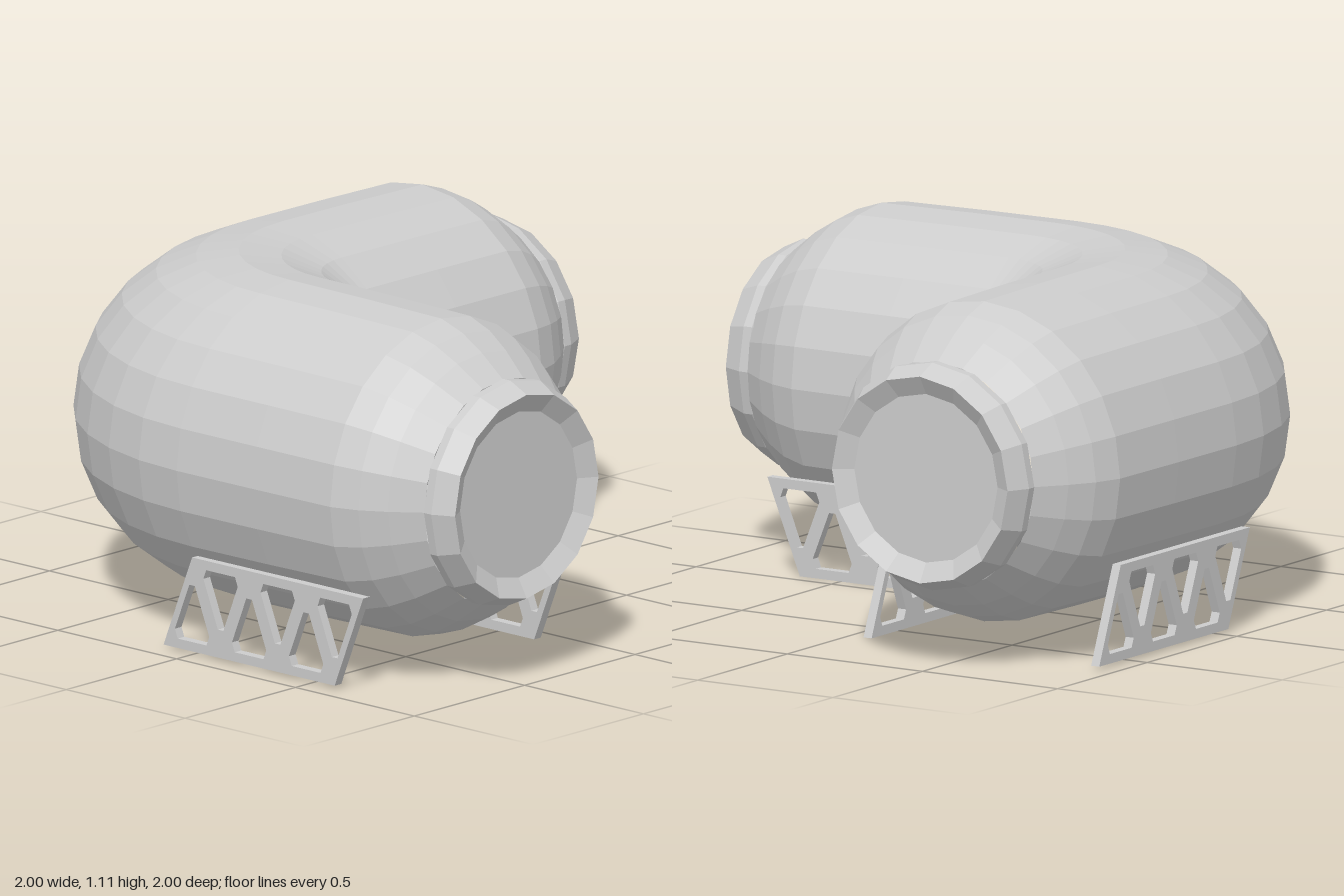
import * as THREE from 'three';

const AXIS_Y = 0.6;   // height of the pipe centreline
const BEND = 0.49;    // bend radius of the centreline
const R = 0.51;       // pipe radius
const SIDES = 24;

function flat(geometry) {
  const g = geometry.index ? geometry.toNonIndexed() : geometry;
  g.computeVertexNormals();
  return g;
}

// Elbow pipe swept from ring cross-sections around the origin
function elbowGeometry() {
  const arm = [[0.9, 0.355], [0.81, 0.425], [0.73, 0.473], [0.64, 0.503], [0.32, 0.508]];
  const rings = arm.map(([t, r]) => ({ angle: 0, x: 0, z: t, r }));
  const steps = 9;
  for (let i = 0; i <= steps; i++) {
    rings.push({ angle: (i / steps) * Math.PI / 2, x: 0, z: 0, r: R });
  }
  for (const [t, r] of [...arm].reverse()) rings.push({ angle: Math.PI / 2, x: t, z: 0, r });

  const positions = [], index = [];
  for (const { angle, x, z, r } of rings) {
    for (let j = 0; j < SIDES; j++) {
      const a = (j / SIDES) * Math.PI * 2;
      const d = BEND + r * Math.cos(a);
      positions.push(x - d * Math.cos(angle), AXIS_Y + r * Math.sin(a), z - d * Math.sin(angle));
    }
  }
  for (let i = 0; i < rings.length - 1; i++) {
    for (let j = 0; j < SIDES; j++) {
      const k = (j + 1) % SIDES;
      const a = i * SIDES + j, b = i * SIDES + k, c = a + SIDES, d = b + SIDES;
      index.push(a, b, c, b, d, c);
    }
  }
  const g = new THREE.BufferGeometry();
  g.setAttribute('position', new THREE.Float32BufferAttribute(positions, 3));
  g.setIndex(index);
  return flat(g);
}

// Collar with bevelled rim and a recessed end plate
function collarGeometry() {
  const profile = [[0.345, 0.89], [0.358, 0.9], [0.358, 0.93], [0.325, 1], [0.265, 0.965], [0, 0.965]];
  return flat(new THREE.LatheGeometry(profile.map(([x, y]) => new THREE.Vector2(x, y)), 16));
}

// Leaning truss panel: bottom edge starts at u = 0, top edge is shifted by lean
function trussGeometry(lean) {
  const pitch = 0.24, bays = 3, height = 0.3, depth = 0.03;
  const bottom = (k) => new THREE.Vector2(k * pitch, 0);
  const top = (k) => new THREE.Vector2(k * pitch + lean, height);
  const shape = new THREE.Shape([bottom(0), bottom(bays), top(bays), top(0)]);

  // Triangular hole, shrunk to leave bars and with its corners cut off
  const addHole = (...corners) => {
    const centre = new THREE.Vector2();
    corners.forEach((p) => centre.addScaledVector(p, 1 / 3));
    const inner = corners.map((p) => centre.clone().lerp(p, 0.7));
    const points = [];
    inner.forEach((p, i) => {
      points.push(p.clone().lerp(inner[(i + 2) % 3], 0.14), p.clone().lerp(inner[(i + 1) % 3], 0.14));
    });
    shape.holes.push(new THREE.Path(points));
  };
  for (let k = 0; k < bays; k++) {
    if (lean < 0) {
      addHole(top(k), bottom(k), top(k + 1));
      addHole(bottom(k), bottom(k + 1), top(k + 1));
    } else {
      addHole(bottom(k), bottom(k + 1), top(k));
      addHole(top(k), bottom(k + 1), top(k + 1));
    }
  }
  const g = new THREE.ExtrudeGeometry(shape, { depth, bevelEnabled: false });
  g.translate(0, 0, -depth / 2);
  return flat(g);
}

export function createModel() {
  const model = new THREE.Group();
  model.name = 'pipeElbow';
  const grey = new THREE.MeshStandardMaterial({ color: 0xcccccc });
  grey.name = 'lightGrey';

  const add = (name, geometry, x, y, z) => {
    const mesh = new THREE.Mesh(geometry, grey);
    mesh.name = name;
    mesh.position.set(x, y, z);
    model.add(mesh);
    return mesh;
  };

  add('elbowPipe', elbowGeometry(), 0, 0, 0);

  // End collars
  const collar = collarGeometry();
  add('frontCollar', collar, -BEND, AXIS_Y, 0).rotation.x = Math.PI / 2;
  add('sideCollar', collar, 0, AXIS_Y, -BEND).rotation.z = -Math.PI / 2;

  // Truss feet under the sideways arm
  const sideTruss = trussGeometry(-0.12);
  add('sideArmInnerFoot', sideTruss, -0.07, 0, -0.065);
  add('sideArmOuterFoot', sideTruss, -0.04, 0.01, -0.927);

  // Truss feet under the forward arm
  const frontTruss = trussGeometry(0.12);
  add('frontArmInnerFoot', frontTruss, -0.065, 0, -0.07).rotation.y = -Math.PI / 2;
  add('frontArmOuterFoot', frontTruss, -0.915, 0.01, -0.12).rotation.y = -Math.PI / 2;

  return model;
}
